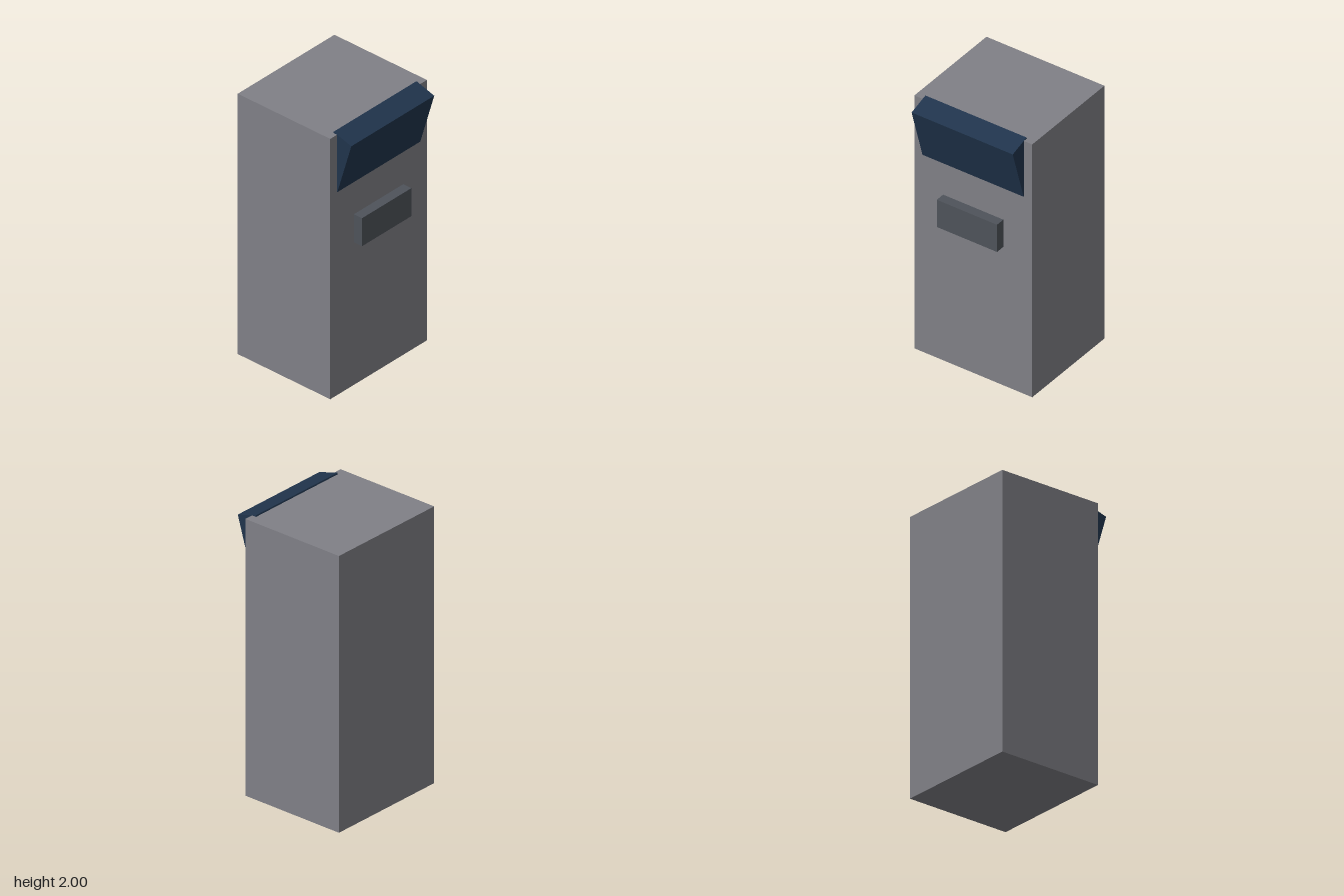
import * as THREE from 'three';

export function createModel() {
  const model = new THREE.Group();
  model.name = 'kiosk';

  const material = (name, color) => {
    const m = new THREE.MeshStandardMaterial({ color });
    m.name = name;
    return m;
  };
  const cabinetGrey = material('cabinet grey', 0x808086);
  const screenNavy = material('screen navy', 0x20344c);
  const panelGrey = material('panel dark grey', 0x4e535a);

  const addBox = (name, size, position, mat) => {
    const mesh = new THREE.Mesh(new THREE.BoxGeometry(...size), mat);
    mesh.name = name;
    mesh.position.set(...position);
    model.add(mesh);
    return mesh;
  };

  // Upright cabinet
  addBox('cabinet', [0.928, 1.99, 0.795], [0, 0.995, -0.0625], cabinetGrey);

  // Screen housing, leaning forward out of the cabinet's top front edge
  const screen = addBox('screen', [0.796, 0.42, 0.159], [0, 1.776, 0.321], screenNavy);
  screen.rotation.x = 0.29;

  // Raised panel, its back sunk into the cabinet
  addBox('frontPanel', [0.474, 0.214, 0.12], [0, 1.197, 0.345], panelGrey);

  return model;
}
